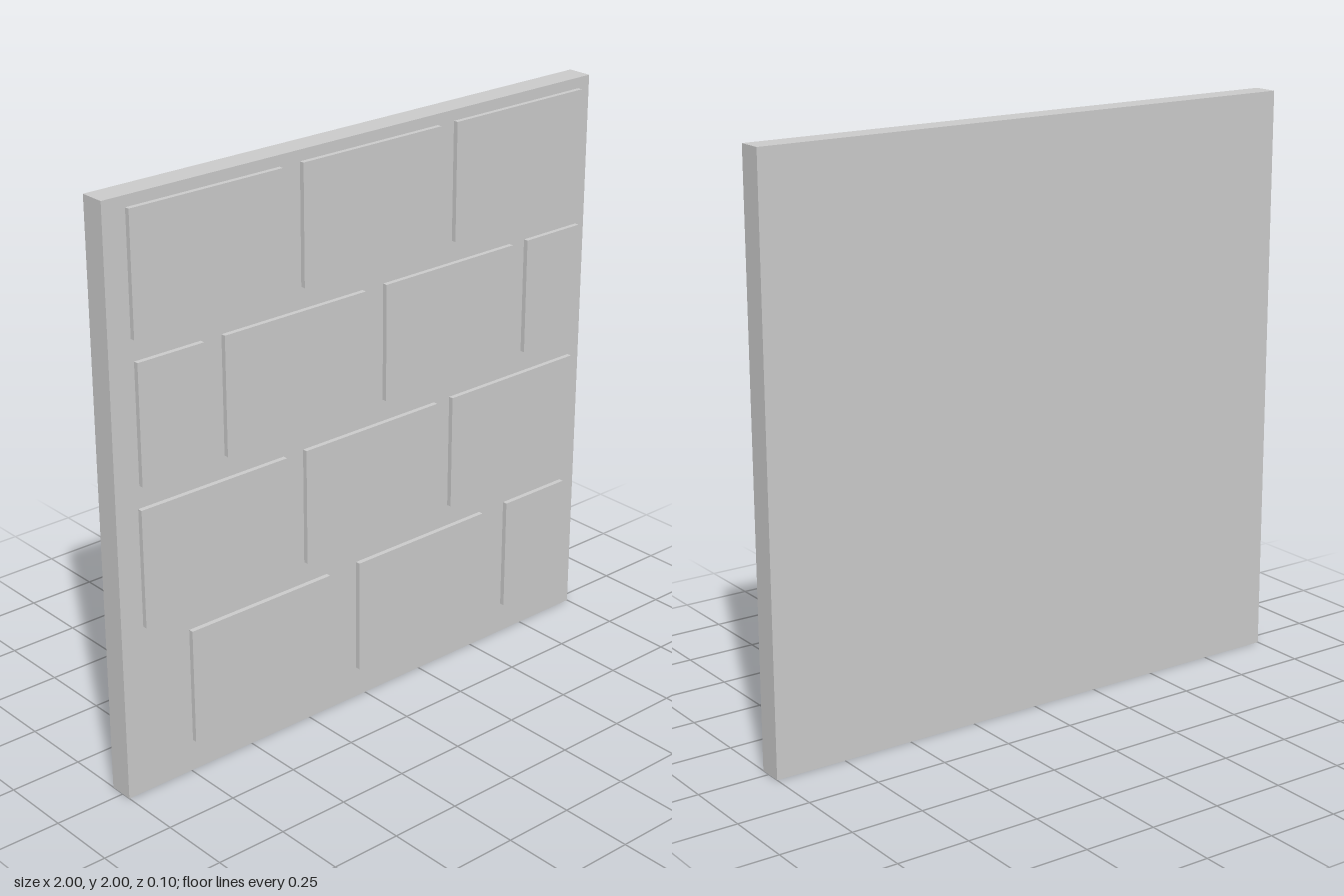
import * as THREE from 'three';

const BACK = -0.052, FACE = 0.035, FRONT = 0.052;
const BRICK_H = 0.406;

// Each course: centre height and [left edge, right edge] of its bricks
const fullCourse = [[-0.917, -0.345], [-0.265, 0.307], [0.377, 0.949]];
const courses = [
  { y: 1.76, bricks: fullCourse },
  { y: 1.28, bricks: [[-0.909, -0.661], [-0.582, -0.012], [0.076, 0.644], [0.713, 0.96]] },
  { y: 0.798, bricks: fullCourse },
  { y: 0.315, bricks: [[-0.741, -0.169], [-0.04, 0.532], [0.649, 0.933]] },
];

export function createModel() {
  const group = new THREE.Group();
  group.name = 'brickWall';
  const material = new THREE.MeshStandardMaterial({ color: 0xcccccc });

  const addBox = (name, parent, x0, x1, y, h, z0, z1) => {
    const mesh = new THREE.Mesh(new THREE.BoxGeometry(x1 - x0, h, z1 - z0), material);
    mesh.position.set((x0 + x1) / 2, y, (z0 + z1) / 2);
    mesh.name = name;
    parent.add(mesh);
  };

  // Flat backing slab
  addBox('wallSlab', group, -1, 1, 1, 2, BACK, FACE);

  // Raised bricks, slightly sunk into the slab
  courses.forEach(({ y, bricks }, row) => {
    const course = new THREE.Group();
    course.name = `brickCourse${row + 1}`;
    bricks.forEach(([x0, x1], i) =>
      addBox(`brick${i + 1}`, course, x0, x1, y, BRICK_H, FACE - 0.01, FRONT));
    group.add(course);
  });

  return group;
}
